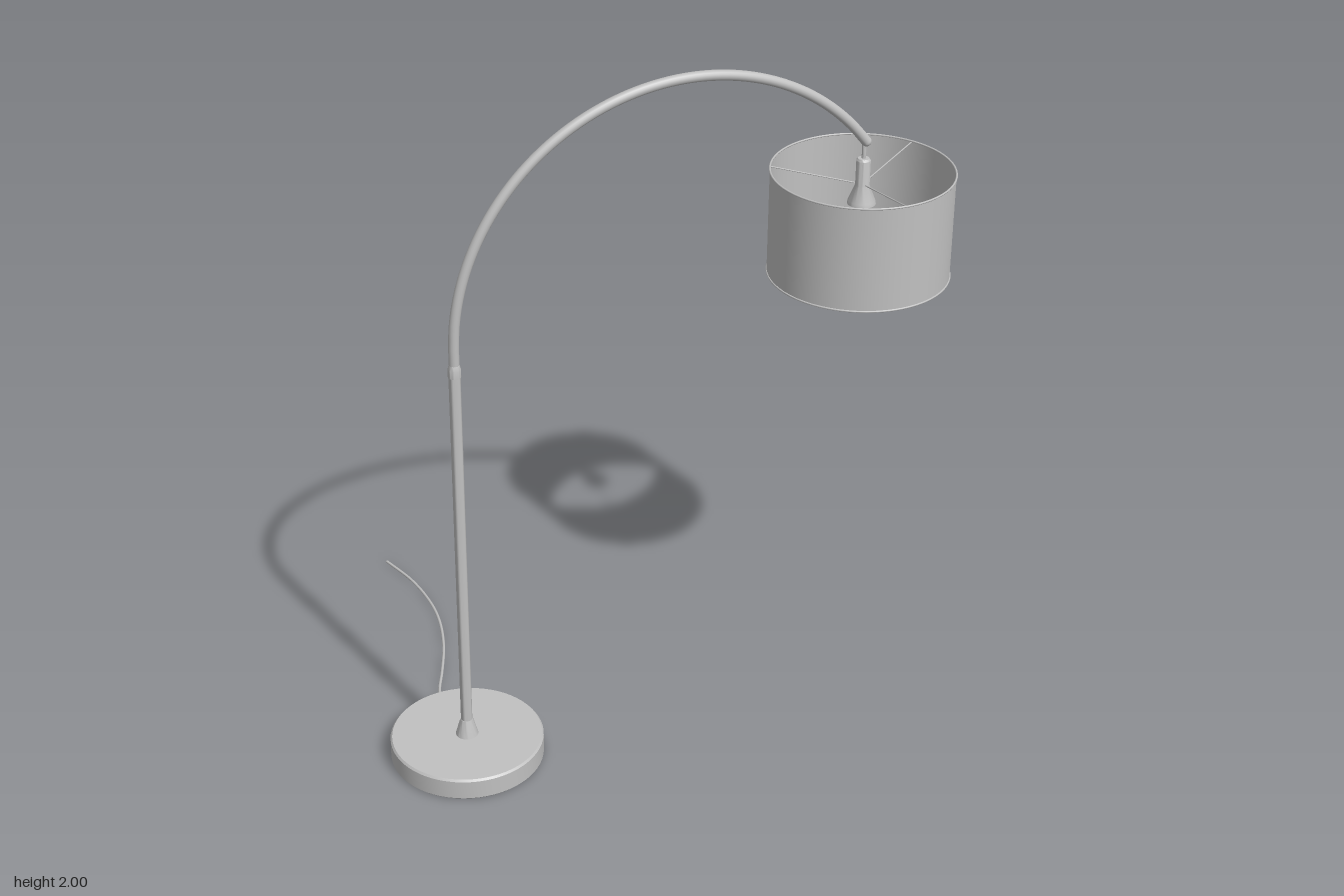
import * as THREE from 'three';
import { toCreasedNormals } from 'three/addons/utils/BufferGeometryUtils.js';

const POLE_X = -0.62, LAMP_X = 0.58, Z = 0.39;

export function createModel() {
  const model = new THREE.Group();
  model.name = 'archFloorLamp';

  const grey = new THREE.MeshStandardMaterial({ color: 0xc0c0c0 });
  grey.name = 'satin grey';
  const shadeGrey = grey.clone();
  shadeGrey.name = 'shade grey';
  shadeGrey.side = THREE.DoubleSide;

  const add = (name, geometry, x = 0, y = 0, z = 0, material = grey) => {
    const mesh = new THREE.Mesh(geometry, material);
    mesh.name = name;
    mesh.position.set(x, y, z);
    model.add(mesh);
    return mesh;
  };
  // Turned part from [radius, height] pairs, listed bottom to top
  const turned = (name, profile, x, segments = 32) => add(name, toCreasedNormals(
    new THREE.LatheGeometry(profile.map(p => new THREE.Vector2(...p)), segments), 0.6), x, 0, Z);
  // Straight round rod between two points
  const rod = (name, a, b, radius) => {
    const dir = b.clone().sub(a);
    const mesh = add(name, new THREE.CylinderGeometry(radius, radius, dir.length(), 8));
    mesh.position.copy(a).add(b).multiplyScalar(0.5);
    mesh.quaternion.setFromUnitVectors(new THREE.Vector3(0, 1, 0), dir.normalize());
  };

  // Weighted base, pole foot, pole and joint
  turned('base', [[0, 0], [0.217, 0], [0.221, 0.004], [0.221, 0.06], [0.216, 0.066], [0, 0.066]], POLE_X, 64);
  turned('poleFoot', [[0.033, 0.065], [0.031, 0.072], [0.018, 0.118], [0, 0.118]], POLE_X);
  turned('pole', [[0.0165, 0.06], [0.0165, 1.245], [0, 1.245]], POLE_X);
  turned('poleJoint', [[0, 1.238], [0.018, 1.238], [0.018, 1.262], [0.014, 1.276], [0, 1.276]], POLE_X);

  // Arched arm: short straight rise, then a circular sweep
  const R = 0.67, cx = POLE_X + R, cy = 1.316, end = 0.645;
  const path = new THREE.CurvePath();
  path.add(new THREE.LineCurve3(new THREE.Vector3(POLE_X, 1.25, Z), new THREE.Vector3(POLE_X, cy, Z)));
  const sweep = [];
  for (let i = 0; i <= 24; i++) {
    const a = Math.PI + (end - Math.PI) * i / 24;
    sweep.push(new THREE.Vector3(cx + R * Math.cos(a), cy + R * Math.sin(a), Z));
  }
  path.add(new THREE.CatmullRomCurve3(sweep));
  add('arm', new THREE.TubeGeometry(path, 72, 0.0145, 16));
  const tip = sweep[24];
  add('armTip', new THREE.SphereGeometry(0.0145, 16, 10), tip.x, tip.y, Z);

  // Hanger and bulb holder
  turned('hanger', [[0.006, 1.66], [0.006, 1.722]], LAMP_X, 12);
  turned('bulbHolder', [[0, 1.535], [0.04, 1.535], [0.038, 1.545], [0.02, 1.59],
    [0.02, 1.664], [0.016, 1.67], [0, 1.67]], LAMP_X);

  // Drum shade with rim wires and three spokes
  add('shade', new THREE.CylinderGeometry(0.256, 0.256, 0.31, 64, 1, true), LAMP_X, 1.48, Z, shadeGrey);
  for (const [name, y] of [['topRim', 1.633], ['bottomRim', 1.327]]) {
    add(name, new THREE.TorusGeometry(0.256, 0.003, 8, 64).rotateX(Math.PI / 2), LAMP_X, y, Z);
  }
  for (let i = 0; i < 3; i++) {
    const a = i * Math.PI * 2 / 3;
    rod('shadeSpoke', new THREE.Vector3(LAMP_X, 1.592, Z),
      new THREE.Vector3(LAMP_X + 0.255 * Math.sin(a), 1.63, Z + 0.255 * Math.cos(a)), 0.002);
  }

  // Power cord trailing over the floor
  const cord = new THREE.CatmullRomCurve3([
    [-0.62, 0.016, 0.19], [-0.618, 0.012, 0.145], [-0.6, 0.006, 0.08], [-0.565, 0.005, 0],
    [-0.515, 0.005, -0.13], [-0.484, 0.005, -0.26], [-0.477, 0.005, -0.37],
    [-0.492, 0.005, -0.51], [-0.532, 0.005, -0.647],
  ].map(p => new THREE.Vector3(...p)));
  add('cord', new THREE.TubeGeometry(cord, 60, 0.0045, 8));

  return model;
}
